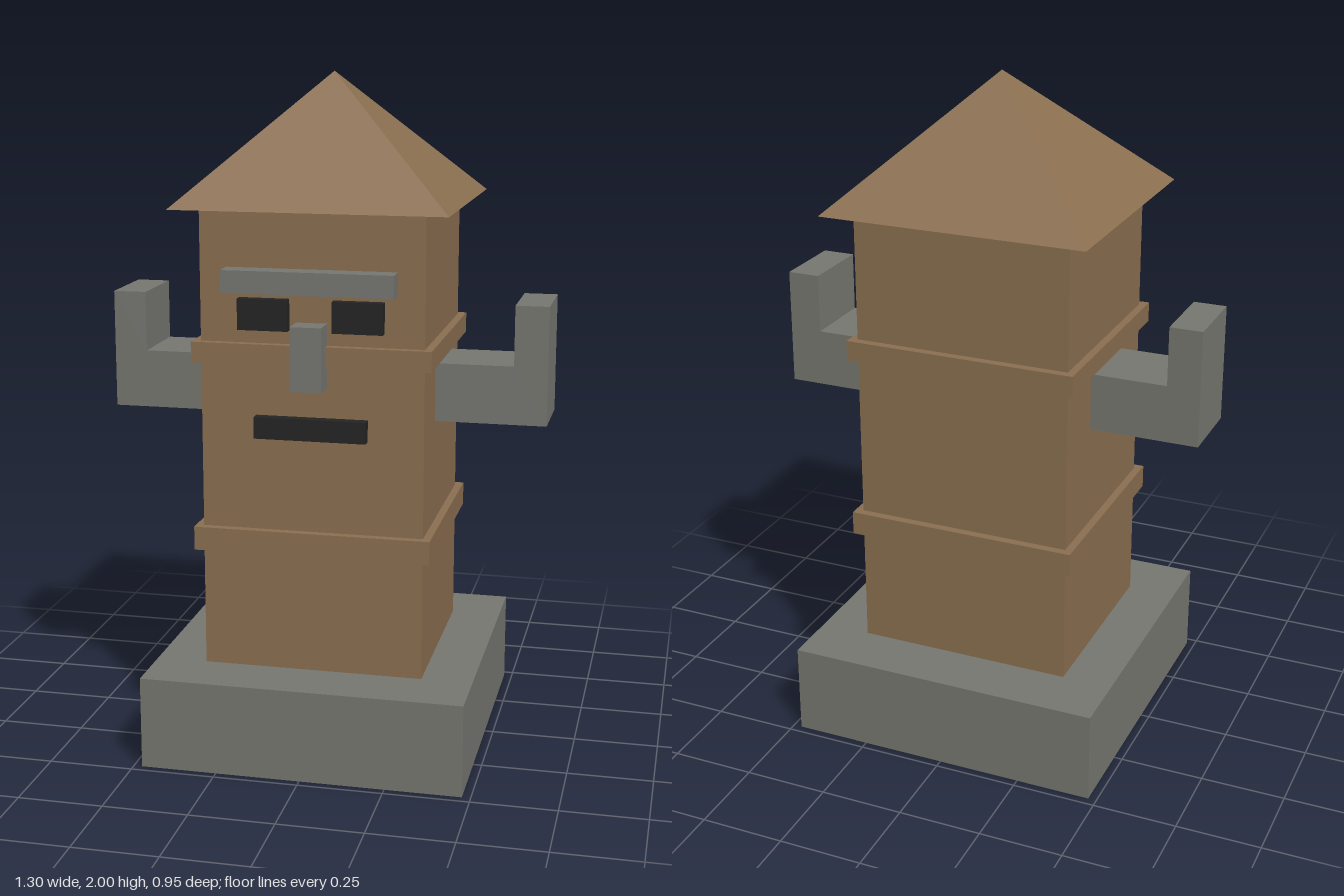
import * as THREE from 'three';

const wood = new THREE.MeshStandardMaterial({ color: 0x8b6f50 });
wood.name = 'brown wood';
const stone = new THREE.MeshStandardMaterial({ color: 0x777771 });
stone.name = 'grey stone';
const dark = new THREE.MeshStandardMaterial({ color: 0x242424 });
dark.name = 'dark face';
const roofWood = wood.clone();
roofWood.name = 'roof brown';
roofWood.side = THREE.DoubleSide;

export function createModel() {
  const group = new THREE.Group();
  group.name = 'towerStatue';

  const add = (name, geometry, material) => {
    const mesh = new THREE.Mesh(geometry, material);
    mesh.name = name;
    group.add(mesh);
    return mesh;
  };
  // Box given by its extents on each axis
  const box = (name, material, [x0, x1], [y0, y1], [z0, z1]) =>
    add(name, new THREE.BoxGeometry(x1 - x0, y1 - y0, z1 - z0), material)
      .position.set((x0 + x1) / 2, (y0 + y1) / 2, (z0 + z1) / 2);

  // Plinth, tower and its two bands
  box('base', stone, [-0.475, 0.475], [0, 0.275], [-0.475, 0.475]);
  box('body', wood, [-0.325, 0.325], [0.275, 1.63], [-0.3, 0.3]);
  box('lowerBand', wood, [-0.348, 0.348], [0.63, 0.7], [-0.325, 0.325]);
  box('upperBand', wood, [-0.348, 0.348], [1.19, 1.25], [-0.325, 0.325]);

  // Four-sided roof, open underneath
  const roof = new THREE.ConeGeometry(Math.SQRT2, 0.37, 4, 1, true)
    .rotateY(Math.PI / 4)
    .scale(0.398, 1, 0.373)
    .toNonIndexed();
  roof.computeVertexNormals();
  add('roof', roof, roofWood).position.y = 1.815;

  // Face
  box('brow', stone, [-0.247, 0.247], [1.4, 1.465], [0.3, 0.365]);
  box('nose', stone, [-0.045, 0.045], [1.128, 1.313], [0.3, 0.375]);
  box('mouth', dark, [-0.163, 0.163], [0.977, 1.04], [0.3, 0.332]);
  box('leftEye', dark, [0.064, 0.21], [1.29, 1.38], [0.3, 0.327]);
  box('rightEye', dark, [-0.21, -0.064], [1.29, 1.38], [0.3, 0.327]);

  // L-shaped raised arms
  for (const [name, s] of [['leftArm', 1], ['rightArm', -1]]) {
    const outline = [[0.325, 1.003], [0.65, 1.003], [0.65, 1.352],
      [0.552, 1.352], [0.552, 1.175], [0.325, 1.175]];
    const shape = new THREE.Shape(outline.map(([x, y]) => new THREE.Vector2(s * x, y)));
    const arm = new THREE.ExtrudeGeometry(shape, { depth: 0.226, bevelEnabled: false });
    add(name, arm.translate(0, 0, -0.113), stone);
  }

  return group;
}
